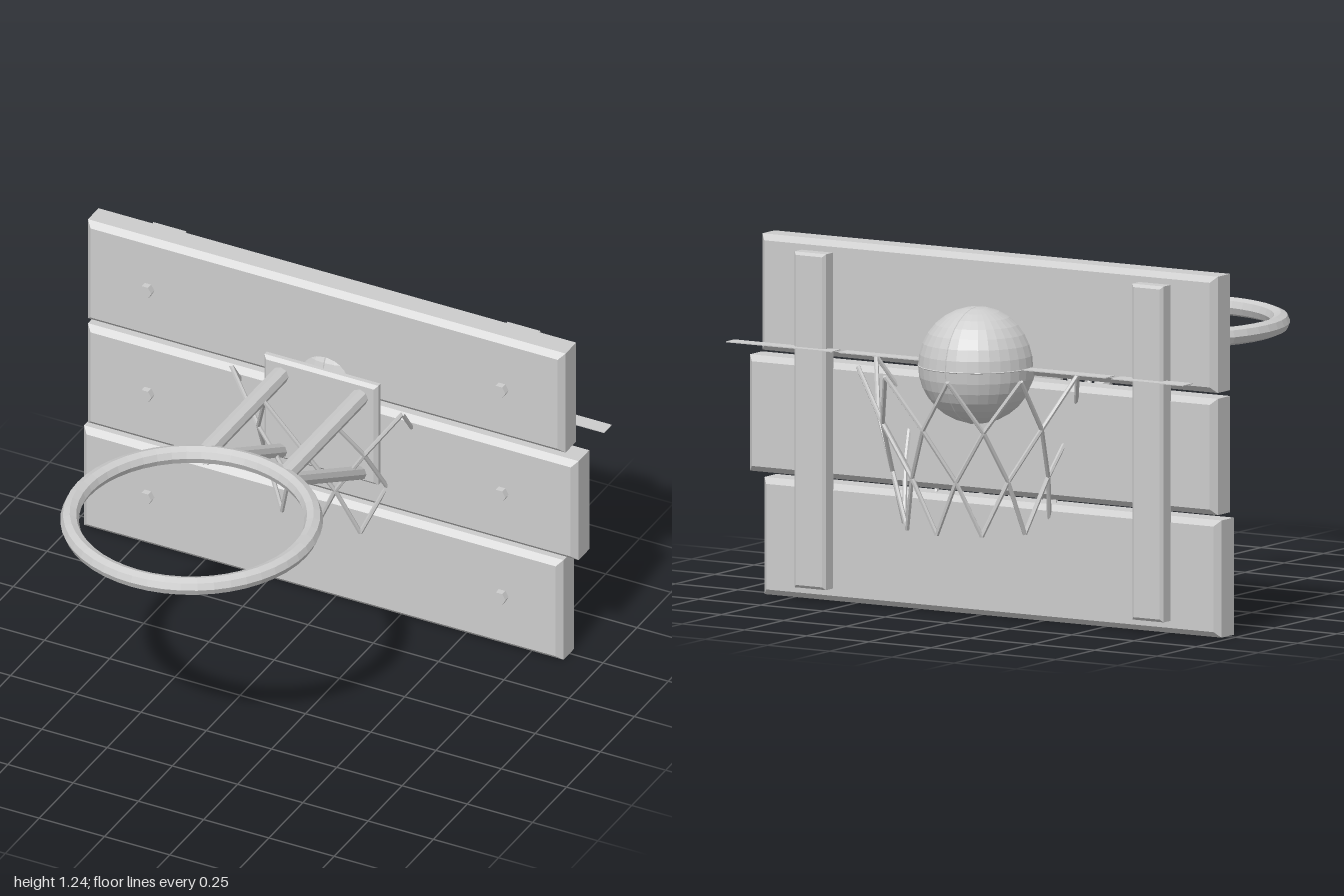
import * as THREE from 'three';

export function createModel() {
  const model = new THREE.Group();
  const grey = new THREE.MeshStandardMaterial({ color: 0xcccccc, flatShading: true });
  grey.name = 'grey';
  const cx = -0.03; // centre line of hoop, ball and net
  const ballZ = -0.61;

  function add(name, geometry, x = 0, y = 0, z = 0, parent = model) {
    const mesh = new THREE.Mesh(geometry, grey);
    mesh.name = name;
    mesh.position.set(x, y, z);
    parent.add(mesh);
    return mesh;
  }

  // Box with chamfered edges, given by its bounds
  function chamferBox(name, x0, x1, y0, y1, z0, z1, c) {
    const w = (x1 - x0) / 2 - c, h = (y1 - y0) / 2 - c;
    const shape = new THREE.Shape();
    shape.moveTo(-w, -h).lineTo(w, -h).lineTo(w, h).lineTo(-w, h).closePath();
    const geometry = new THREE.ExtrudeGeometry(shape, {
      depth: z1 - z0 - 2 * c, bevelThickness: c, bevelSize: c, bevelSegments: 1,
    });
    return add(name, geometry, (x0 + x1) / 2, (y0 + y1) / 2, z0 + c);
  }

  // Straight round bar between two points
  function bar(name, a, b, radius, sides, parent = model) {
    const dir = b.clone().sub(a);
    const mesh = add(name, new THREE.CylinderGeometry(radius, radius, dir.length(), sides), 0, 0, 0, parent);
    mesh.position.copy(a).add(b).multiplyScalar(0.5);
    mesh.quaternion.setFromUnitVectors(new THREE.Vector3(0, 1, 0), dir.normalize());
    return mesh;
  }

  // Backboard planks, slightly uneven in x
  chamferBox('topPlank', -0.95, 0.88, 0.84, 1.24, -0.553, -0.435, 0.02);
  chamferBox('middlePlank', -0.95, 0.93, 0.42, 0.82, -0.553, -0.435, 0.02);
  chamferBox('bottomPlank', -0.965, 0.872, 0, 0.403, -0.553, -0.435, 0.02);

  // Rear battens and the bolts through them
  for (const x of [-0.71, 0.647]) {
    chamferBox('batten', x - 0.063, x + 0.063, 0.045, 1.2, -0.607, -0.54, 0.01);
    for (const y of [0.205, 0.62, 1.04]) {
      const bolt = add('bolt', new THREE.CylinderGeometry(0.025, 0.025, 0.04, 6), x, y, -0.432);
      bolt.rotation.set(Math.PI / 2, Math.PI / 6, 0);
    }
  }

  // Paper-thin horizontal strips behind the board
  for (const [x0, x1, z0] of [[-0.88, -0.59, -0.643], [-0.565, 0.51, -0.635], [0.537, 0.963, -0.635]]) {
    add('thinStrip', new THREE.BoxGeometry(x1 - x0, 0.003, -0.58 - z0), (x0 + x1) / 2, 0.873, (z0 - 0.58) / 2);
  }

  // Mounting plate, arms and braces
  chamferBox('mountingPlate', -0.25, 0.187, 0.53, 0.93, -0.437, -0.397, 0.012);
  for (const side of [-1, 1]) {
    const x = cx + side * 0.152;
    bar('arm', new THREE.Vector3(x, 0.872, -0.41), new THREE.Vector3(x, 0.872, 0.16), 0.031, 8);
    bar('brace', new THREE.Vector3(x, 0.56, -0.41), new THREE.Vector3(x, 0.855, 0.16), 0.025, 8);
  }

  // Hoop
  const hoop = add('hoop', new THREE.TorusGeometry(0.415, 0.032, 8, 48), cx, 0.872, 0.55);
  hoop.rotation.x = Math.PI / 2;

  // Ball with fine seams
  const ball = new THREE.Group();
  ball.name = 'ball';
  ball.position.set(cx, 0.872, ballZ);
  model.add(ball);
  add('ballSurface', new THREE.SphereGeometry(0.2, 32, 16), 0, 0, 0, ball);
  add('levelSeam', new THREE.TorusGeometry(0.199, 0.003, 4, 32), 0, 0, 0, ball).rotation.x = Math.PI / 2;
  add('uprightSeam', new THREE.TorusGeometry(0.199, 0.003, 4, 32), 0, 0, 0, ball).rotation.y = Math.PI / 2;

  // Net: diamond lattice of ten strands in each direction
  const net = new THREE.Group();
  net.name = 'net';
  net.position.set(cx, 0, ballZ);
  model.add(net);
  const rings = [[0.405, 0.87], [0.345, 0.69], [0.287, 0.51], [0.255, 0.32]];
  const knot = (level, step) => {
    const [r, y] = rings[level];
    const a = step * Math.PI / 10;
    return new THREE.Vector3(Math.sin(a) * r, y, Math.cos(a) * r);
  };
  for (let i = 0; i < 10; i++) {
    for (const turn of [-1, 1]) {
      for (let level = 0; level < 3; level++) {
        const step = 2 * i + 1 + turn * level;
        bar('netStrand', knot(level, step), knot(level + 1, step + turn), 0.008, 6, net);
      }
    }
  }
  return model;
}
